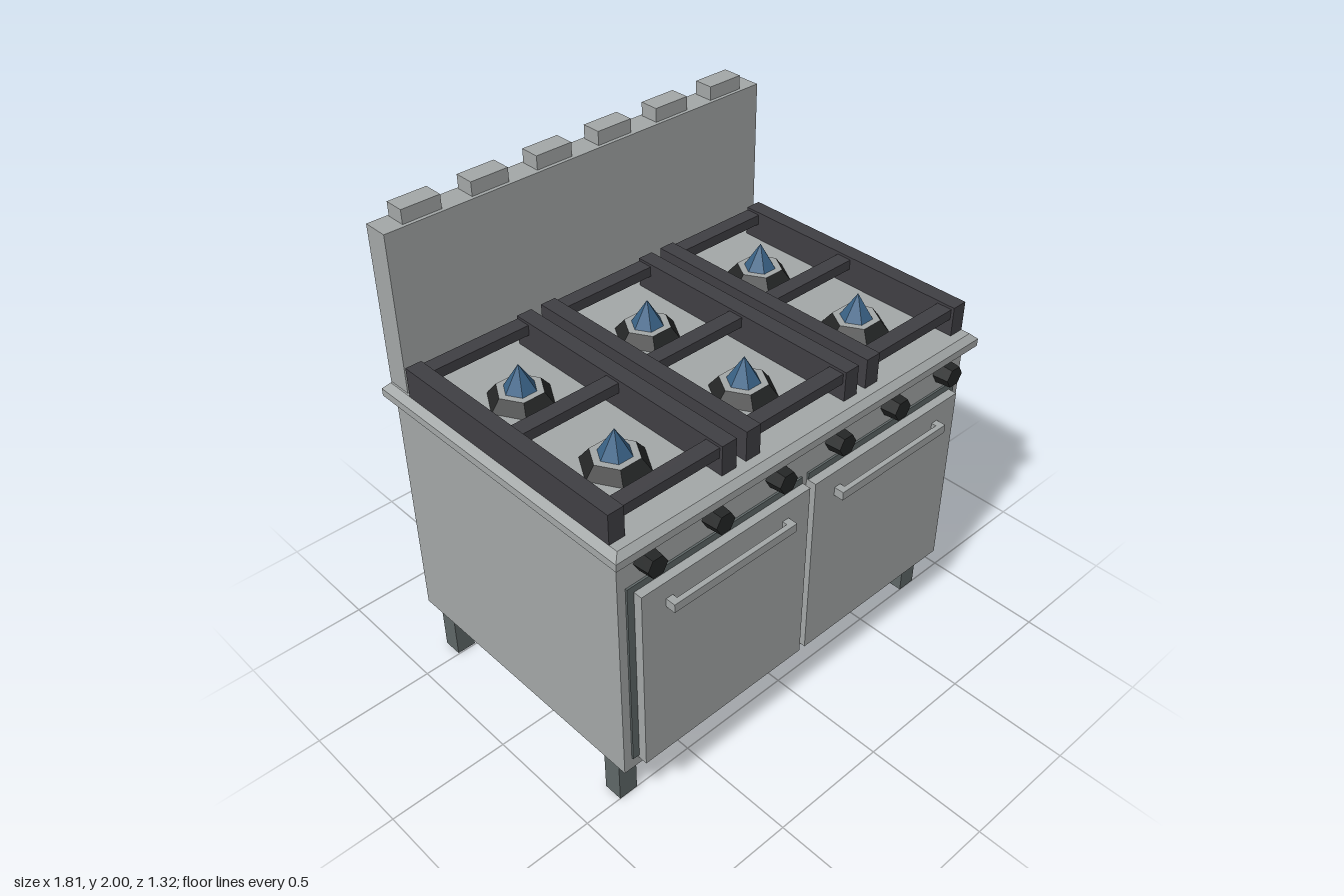
import * as THREE from 'three';

const material = (name, color) => {
  const m = new THREE.MeshStandardMaterial({ color, flatShading: true });
  m.name = name;
  return m;
};

export function createModel() {
  const steel = material('steel', 0xa4a8a8);
  const darkSteel = material('dark steel', 0x5f6868);
  const iron = material('cast iron', 0x403f44);
  const black = material('black', 0x242626);
  const blue = material('flame blue', 0x3a6387);

  const range = new THREE.Group();
  range.name = 'cookingRange';

  const add = (name, geometry, mat, parent = range) => {
    const mesh = new THREE.Mesh(geometry, mat);
    mesh.name = name;
    parent.add(mesh);
    return mesh;
  };
  // Box given by its extents on each axis
  const box = (name, mat, [x0, x1], [y0, y1], [z0, z1], parent) => {
    const mesh = add(name, new THREE.BoxGeometry(x1 - x0, y1 - y0, z1 - z0), mat, parent);
    mesh.position.set((x0 + x1) / 2, (y0 + y1) / 2, (z0 + z1) / 2);
    return mesh;
  };
  const group = (name) => {
    const g = new THREE.Group();
    g.name = name;
    range.add(g);
    return g;
  };

  // Cabinet and legs
  box('cabinet', steel, [-0.87, 0.87], [0.23, 1.26], [-0.63, 0.568]);
  for (const x of [-0.8, 0.8])
    for (const z of [-0.545, 0.46])
      box('leg', darkSteel, [x - 0.041, x + 0.041], [0, 0.23], [z - 0.04, z + 0.04]);

  // Cooktop slab with a sloped upper edge
  box('cooktopRim', steel, [-0.903, 0.903], [1.252, 1.283], [-0.665, 0.61]);
  const slope = box('cooktop', steel, [-0.903, 0.903], [1.283, 1.308], [-0.665, 0.61]);
  const p = slope.geometry.attributes.position;
  for (let i = 0; i < p.count; i++) {
    if (p.getY(i) > 0) {
      p.setX(i, p.getX(i) - Math.sign(p.getX(i)) * 0.026);
      p.setZ(i, p.getZ(i) - Math.sign(p.getZ(i)) * 0.023);
    }
  }
  slope.geometry.computeVertexNormals();

  // Backsplash with vent tabs
  box('backsplash', steel, [-0.87, 0.87], [1.3, 1.945], [-0.648, -0.545]);
  for (let i = 0; i < 6; i++) {
    const x = (i - 2.5) * 0.283;
    box('ventTab', steel, [x - 0.079, x + 0.079], [1.945, 2], [-0.64, -0.56]);
  }

  // Rear rail
  box('rearRail', darkSteel, [-0.835, 0.835], [0.515, 0.6], [-0.655, -0.63]);

  // Doors, their dark surrounds and handles
  for (const s of [-1, 1]) {
    const door = group(s < 0 ? 'rightDoor' : 'leftDoor');
    const span = (a, b) => (s < 0 ? [-b, -a] : [a, b]);
    box('doorSurround', darkSteel, span(0.016, 0.835), [0.285, 1.108], [0.568, 0.576], door);
    box('doorPanel', steel, span(0.014, 0.806), [0.27, 1.08], [0.568, 0.612], door);
    box('handleBar', steel, span(0.12, 0.7), [0.97, 1.006], [0.632, 0.653], door);
    for (const x of [0.12, 0.67])
      box('handlePost', steel, span(x, x + 0.03), [0.97, 1.006], [0.61, 0.634], door);
  }

  // Hexagonal knobs, corners pointing sideways
  for (let i = 0; i < 6; i++) {
    const geometry = new THREE.CylinderGeometry(0.043, 0.049, 0.065, 6);
    geometry.rotateY(Math.PI / 2).rotateX(Math.PI / 2);
    add('knob', geometry, black).position.set((i - 2.5) * 0.3, 1.192, 0.6);
  }

  // Three grates, each over two burners
  for (const cx of [-0.6, 0, 0.6]) {
    const grate = group('grate');
    for (const s of [-1, 1]) {
      const x = cx + s * 0.244;
      box('grateSide', iron, [x - 0.033, x + 0.033], [1.308, 1.43], [-0.523, 0.549], grate);
    }
    for (const z of [-0.489, 0.009, 0.505])
      box('grateBar', iron, [cx - 0.215, cx + 0.215], [1.377, 1.419], [z - 0.032, z + 0.032], grate);

    for (const z of [-0.243, 0.262]) {
      const burner = group('burner');
      burner.position.set(cx, 1.308, z);
      burner.rotation.y = Math.PI / 2;
      // Sloped ring with a steel cap, then the flame
      add('burnerBase', new THREE.CylinderGeometry(0.092, 0.13, 0.047, 6), [black, steel, black], burner)
        .position.y = 0.0235;
      add('flame', new THREE.ConeGeometry(0.064, 0.103, 6), blue, burner).position.y = 0.0975;
    }
  }

  return range;
}
